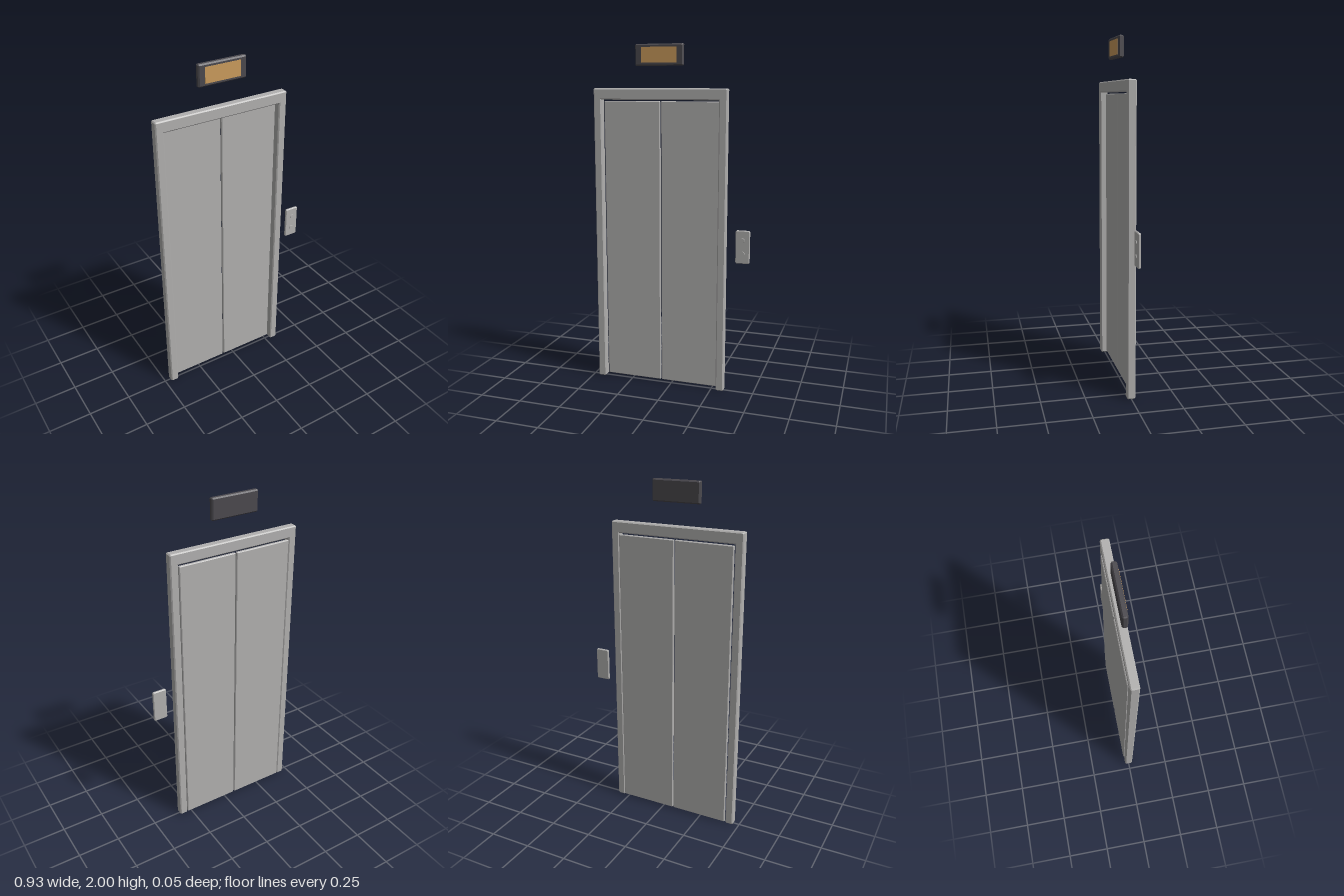
import * as THREE from 'three';

const steel = new THREE.MeshStandardMaterial({ color: 0xb2b1b0 });
steel.name = 'brushed steel';
const dark = new THREE.MeshStandardMaterial({ color: 0x4b494e });
dark.name = 'dark housing';
const amber = new THREE.MeshStandardMaterial({ color: 0xcb9c5c });
amber.name = 'amber screen';

// Extrude an outline from z0 to z1 with a chamfer that stays inside the outline
function slab(points, z0, z1, bevel) {
  const shape = new THREE.Shape(points.map(([x, y]) => new THREE.Vector2(x, y)));
  const geometry = new THREE.ExtrudeGeometry(shape, {
    depth: z1 - z0 - 2 * bevel,
    bevelEnabled: true,
    bevelThickness: bevel,
    bevelSize: bevel,
    bevelOffset: -bevel,
    bevelSegments: 1,
  });
  return geometry.translate(0, 0, z0 + bevel);
}

// Rectangle with cut corners
function plate(x0, x1, y0, y1, c) {
  return [
    [x0 + c, y0], [x1 - c, y0], [x1, y0 + c], [x1, y1 - c],
    [x1 - c, y1], [x0 + c, y1], [x0, y1 - c], [x0, y0 + c],
  ];
}

export function createModel() {
  const group = new THREE.Group();
  const add = (name, geometry, material) => {
    const mesh = new THREE.Mesh(geometry, material);
    mesh.name = name;
    group.add(mesh);
    return mesh;
  };

  // Door surround: two jambs and a lintel in one piece
  const c = 0.006;
  add('doorFrame', slab([
    [-0.465 + c, 0], [-0.418 - c, 0], [-0.418, c], [-0.418, 1.692],
    [0.28, 1.692], [0.28, c], [0.28 + c, 0], [0.327 - c, 0],
    [0.327, c], [0.327, 1.757 - c], [0.327 - c, 1.757],
    [-0.465 + c, 1.757], [-0.465, 1.757 - c], [-0.465, c],
  ], -0.024, 0.024, 0.006), steel);

  // Sliding door leaves, set back in the frame
  for (const [name, x0, x1] of [['rightDoor', -0.413, -0.072], ['leftDoor', -0.065, 0.278]]) {
    add(name, slab(plate(x0, x1, 0.009, 1.685, 0.003), -0.029, -0.01, 0.004), steel);
  }

  // Call panel with two round buttons
  add('callPanel', slab(plate(0.381, 0.463, 0.779, 0.97, 0.006), -0.015, 0.001, 0.004), steel);
  for (const [name, y] of [['upButton', 0.913], ['downButton', 0.837]]) {
    const button = new THREE.CylinderGeometry(0.012, 0.014, 0.008, 20).rotateX(Math.PI / 2);
    add(name, button, steel).position.set(0.422, y, 0.001);
  }

  // Floor indicator above the door
  add('indicatorHousing', slab(plate(-0.21, 0.072, 1.88, 2, 0.005), -0.015, 0.015, 0.007), dark);
  add('indicatorScreen', new THREE.BoxGeometry(0.208, 0.086, 0.003), amber)
    .position.set(-0.069, 1.94, 0.0155);

  return group;
}
